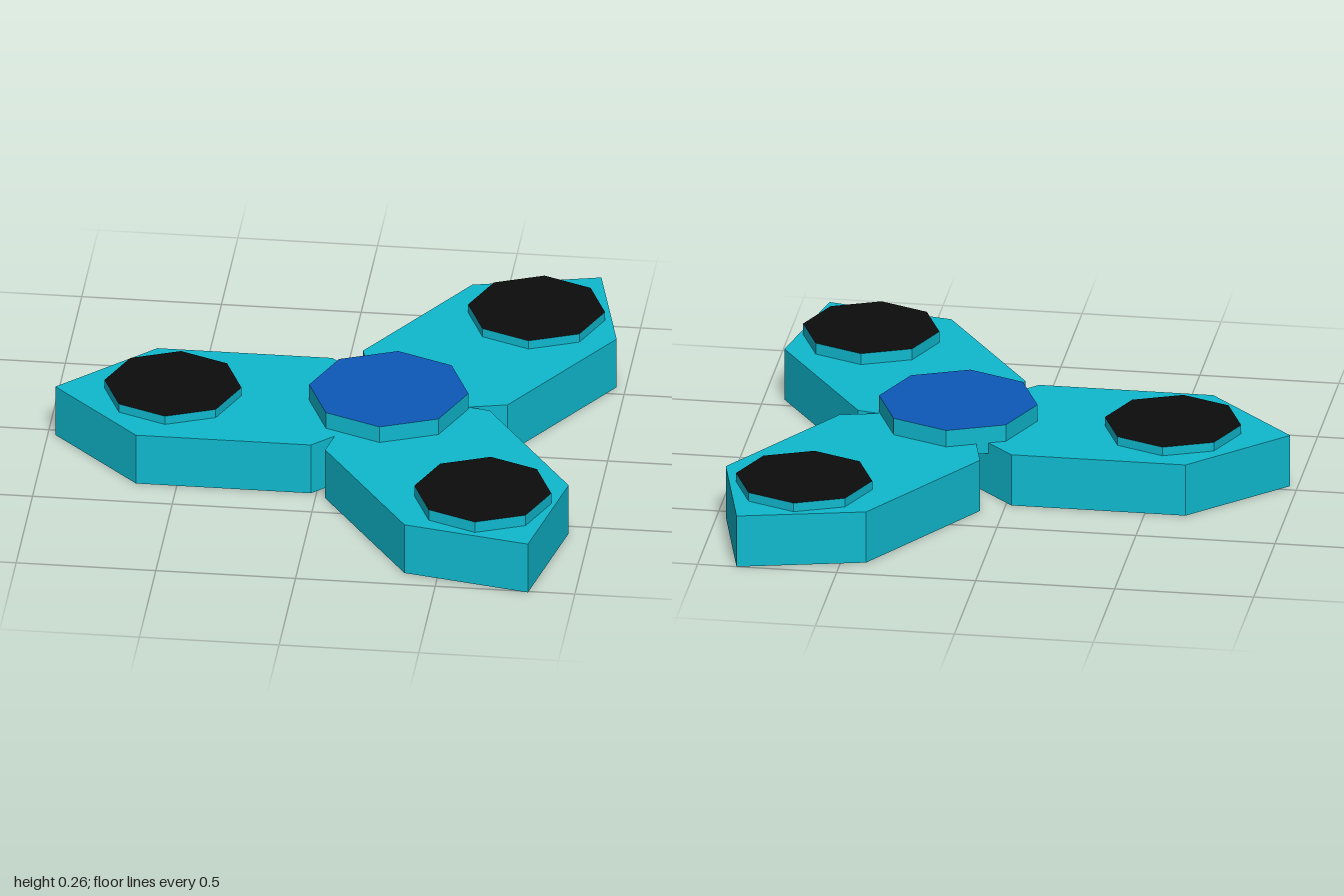
import * as THREE from 'three';

const material = (color) => new THREE.MeshStandardMaterial({ color, flatShading: true });

const ARM_HEIGHT = 0.195;

export function createModel() {
  const model = new THREE.Group();
  model.name = 'spinner';

  const teal = material(0x0fb9cf);
  const black = material(0x0c0c0c);
  const blue = material(0x0d58b8);

  // Elongated hexagon, pointed at both ends, shared by all arms
  const outline = new THREE.Shape([
    [0.64, 0], [0.313, 0.327], [-0.313, 0.327],
    [-0.64, 0], [-0.313, -0.327], [0.313, -0.327],
  ].map(([x, y]) => new THREE.Vector2(x, y)));
  const armGeometry = new THREE.ExtrudeGeometry(outline, { depth: ARM_HEIGHT, bevelEnabled: false });
  armGeometry.rotateX(-Math.PI / 2);

  // Octagonal disc with a coloured top, sunk slightly into the arms
  function addDisc(name, x, z, radius, top, topMaterial) {
    const bottom = ARM_HEIGHT - 0.04;
    const disc = new THREE.Mesh(
      new THREE.CylinderGeometry(radius, radius, top - bottom, 8),
      [teal, topMaterial, teal],
    );
    disc.name = name;
    disc.position.set(x, (top + bottom) / 2, z);
    model.add(disc);
  }

  // Arms with their weights: centre, turn about y, weight centre, weight top
  const arms = [
    { side: 'right', at: [-0.333, 0.035], turn: Math.PI, weight: [-0.553, 0.025], top: 0.228 },
    { side: 'back', at: [0.525, -0.455], turn: 1.02, weight: [0.665, -0.685], top: 0.228 },
    { side: 'front', at: [0.48, 0.473], turn: -0.987, weight: [0.635, 0.697], top: 0.237 },
  ];
  for (const { side, at, turn, weight, top } of arms) {
    const arm = new THREE.Mesh(armGeometry, teal);
    arm.name = `${side}Arm`;
    arm.position.set(at[0], 0, at[1]);
    arm.rotation.y = turn;
    model.add(arm);
    addDisc(`${side}Weight`, weight[0], weight[1], 0.245, top, black);
  }

  // Central finger pad
  addDisc('centreCap', 0.22, 0.03, 0.285, 0.258, blue);

  return model;
}
